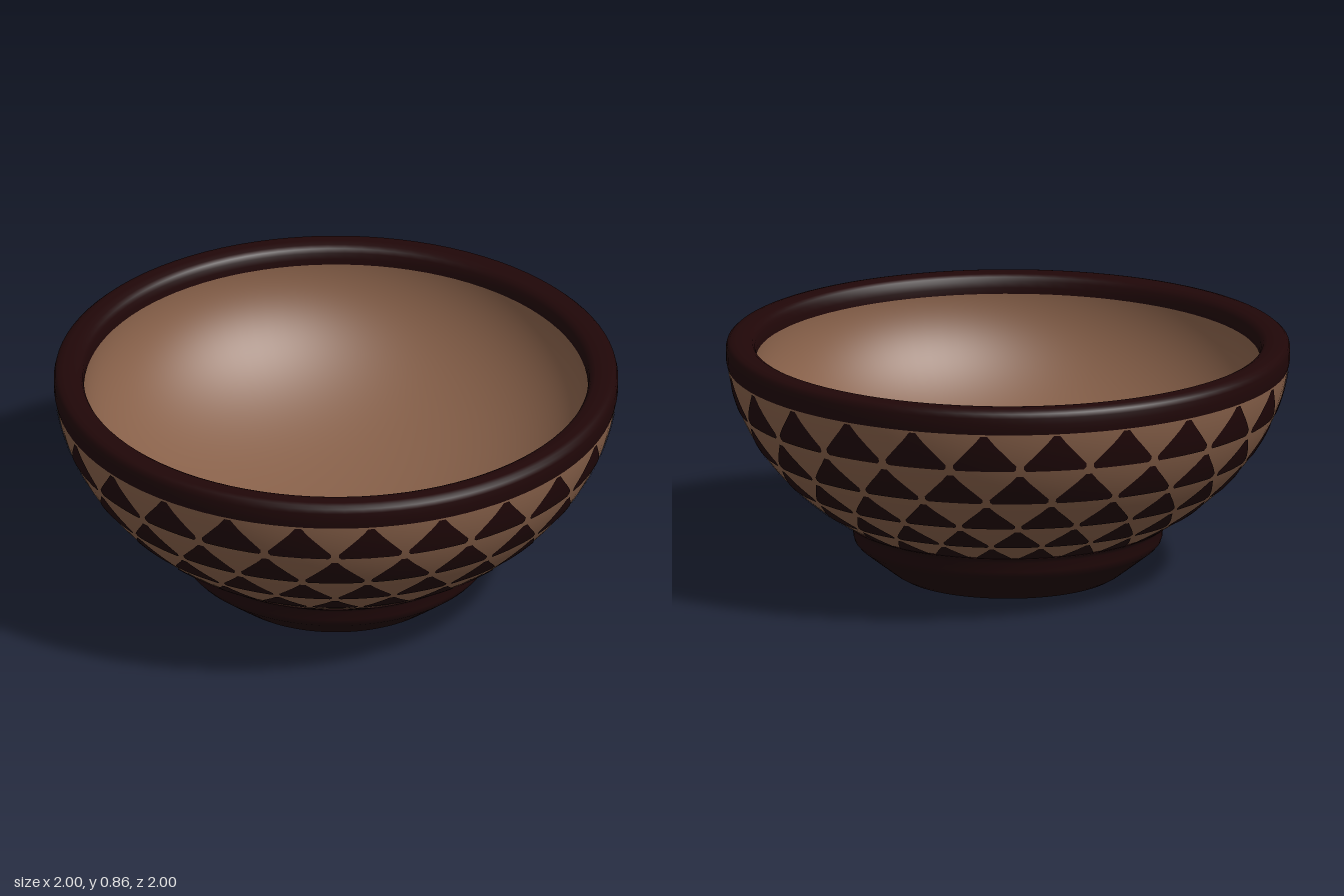
import * as THREE from 'three';

const SEGMENTS = 96;
const PER_ROW = 24;
const STEP = (Math.PI * 2) / PER_ROW;

const v2 = (list) => list.map(([r, y]) => new THREE.Vector2(r, y));

// Outer wall radius at a given height: a quarter ellipse
const radiusAt = (y) => Math.sqrt(1 - ((0.85 - y) / 0.785) ** 2);

// Outer wall profile, from foot to rim
function outerProfile(n) {
  const points = [];
  for (let i = 0; i <= n; i++) {
    const y = THREE.MathUtils.lerp(0.18, 0.775, i / n);
    points.push([radiusAt(y), y]);
  }
  return v2(points);
}

// Inner wall profile, from rim to centre: a shallower quarter ellipse
function innerProfile(n) {
  const points = [];
  for (let i = 0; i <= n; i++) {
    const t = (i / n) * Math.PI / 2;
    points.push([0.894 * Math.max(0, Math.cos(t)), 0.795 - 0.54 * Math.sin(t)]);
  }
  return v2(points);
}

// One row of painted triangles, wrapped onto the wall
function triangleRow(y0, y1, offset) {
  // height fraction and half width, as a fraction of the spacing
  const outline = [[0, 0.41], [0.06, 0.445], [0.16, 0.445], [0.3, 0.375], [0.45, 0.3],
    [0.6, 0.225], [0.75, 0.15], [0.9, 0.085], [1, 0.045]];
  const across = 6, lift = 0.003;
  const positions = [], normals = [], index = [];
  for (let k = 0; k < PER_ROW; k++) {
    const base = positions.length / 3;
    outline.forEach(([v, half], j) => {
      const y = THREE.MathUtils.lerp(y0, y1, v);
      const slope = (radiusAt(y + 0.01) - radiusAt(y - 0.01)) / 0.02;
      const len = Math.hypot(1, slope);
      const r = radiusAt(y) + lift / len;
      const py = y - (lift * slope) / len;
      for (let i = 0; i <= across; i++) {
        const a = offset + STEP * (k + half * ((2 * i) / across - 1));
        positions.push(r * Math.sin(a), py, r * Math.cos(a));
        normals.push(Math.sin(a) / len, -slope / len, Math.cos(a) / len);
        if (j && i) {
          const d = base + j * (across + 1) + i, c = d - 1;
          const b = d - across - 1, e = b - 1;
          index.push(e, b, d, e, d, c);
        }
      }
    });
  }
  const geometry = new THREE.BufferGeometry();
  geometry.setAttribute('position', new THREE.Float32BufferAttribute(positions, 3));
  geometry.setAttribute('normal', new THREE.Float32BufferAttribute(normals, 3));
  geometry.setIndex(index);
  return geometry;
}

export function createModel() {
  const group = new THREE.Group();
  const clay = new THREE.MeshStandardMaterial({ color: 0x876049 });
  const darkGlaze = new THREE.MeshStandardMaterial({ color: 0x200708 });

  const add = (name, geometry, material) => {
    const mesh = new THREE.Mesh(geometry, material);
    mesh.name = name;
    group.add(mesh);
  };
  const lathe = (points) => new THREE.LatheGeometry(points, SEGMENTS);

  // Bowl walls
  add('outerWall', lathe(outerProfile(64)), clay);
  add('innerWall', lathe(innerProfile(64)), clay);

  // Rounded rim
  add('rim', lathe(v2([[0.995, 0.767], [0.999, 0.785], [1, 0.805], [1, 0.828],
    [0.996, 0.844], [0.986, 0.853], [0.97, 0.857], [0.945, 0.857], [0.92, 0.854],
    [0.905, 0.846], [0.897, 0.832], [0.893, 0.81], [0.893, 0.788]])), darkGlaze);

  // Foot with a bevelled lower edge
  add('foot', lathe(v2([[0, 0], [0.33, 0], [0.36, 0.002], [0.385, 0.008], [0.41, 0.022],
    [0.47, 0.068], [0.53, 0.115], [0.543, 0.13], [0.548, 0.147], [0.55, 0.18],
    [0.559, 0.195], [0.575, 0.202], [0.56, 0.207]])), darkGlaze);

  // Alternating rows of painted triangles
  const rows = [[0.625, 0.762], [0.488, 0.605], [0.372, 0.472], [0.274, 0.358], [0.194, 0.264]];
  rows.forEach(([y0, y1], i) => {
    const offset = THREE.MathUtils.degToRad(5.5) + (i % 2) * STEP / 2;
    add(`triangleRow${i + 1}`, triangleRow(y0, y1, offset), darkGlaze);
  });
  return group;
}
